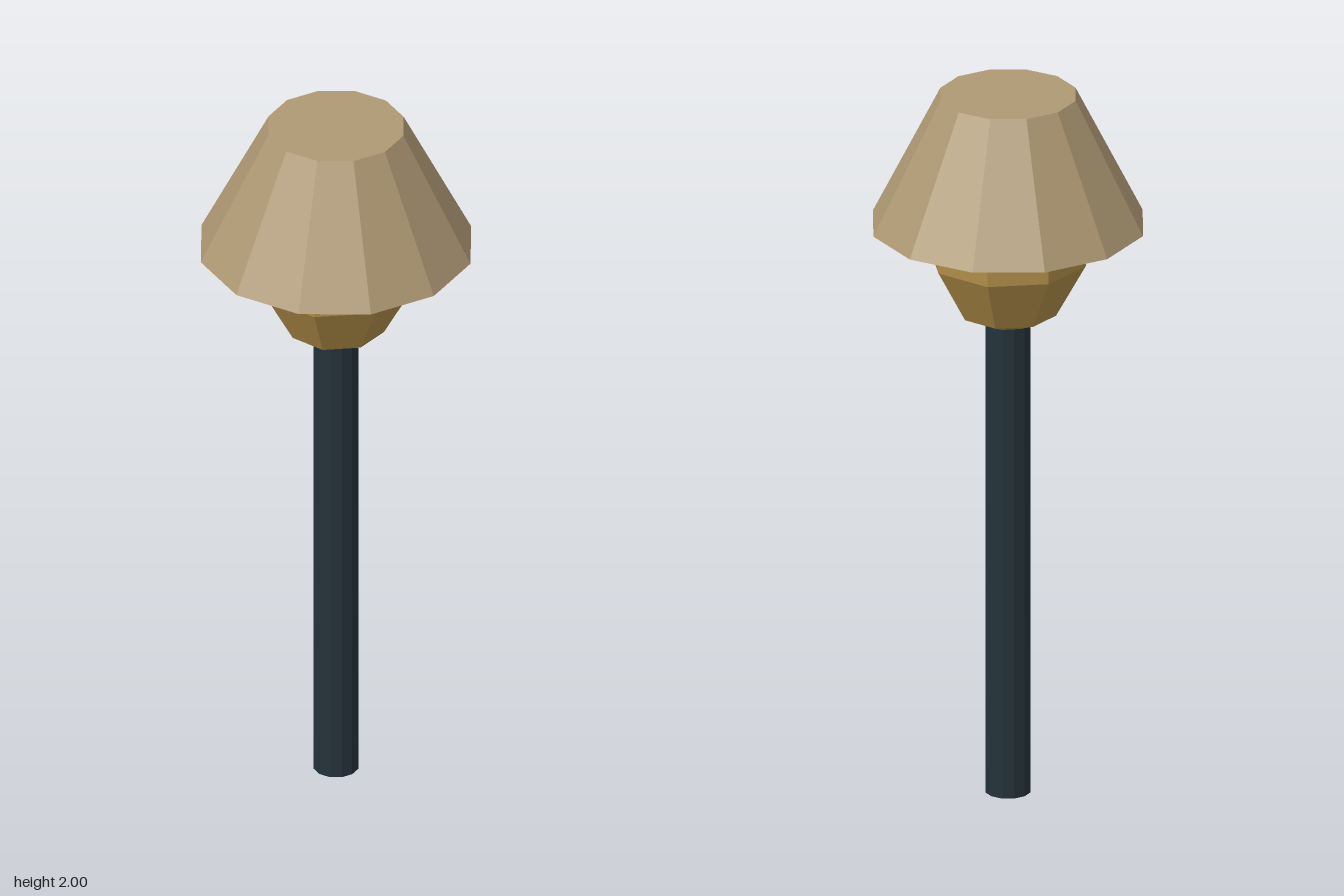
import * as THREE from 'three';

const material = (color) => new THREE.MeshStandardMaterial({ color, flatShading: true });

function addPart(group, name, geometry, color, y) {
  const mesh = new THREE.Mesh(geometry, material(color));
  mesh.name = name;
  mesh.position.y = y;
  group.add(mesh);
  return mesh;
}

export function createModel() {
  const lamp = new THREE.Group();
  lamp.name = 'lamp';

  // Straight post, its top end tucked inside the bulb
  const postHeight = 1.4;
  addPart(lamp, 'post', new THREE.CylinderGeometry(0.062, 0.062, postHeight, 12), 0x24323a, postHeight / 2);

  // Faceted bulb, stretched upwards into the shade
  const bulb = addPart(lamp, 'bulb', new THREE.SphereGeometry(0.226, 8, 5), 0xb08d48, 1.621);
  bulb.scale.y = 4 / 3;

  // Closed twelve-sided tapered shade
  const shadeHeight = 0.37;
  addPart(lamp, 'shade', new THREE.CylinderGeometry(0.187, 0.373, shadeHeight, 12), 0xaf9974, 2 - shadeHeight / 2);

  return lamp;
}
